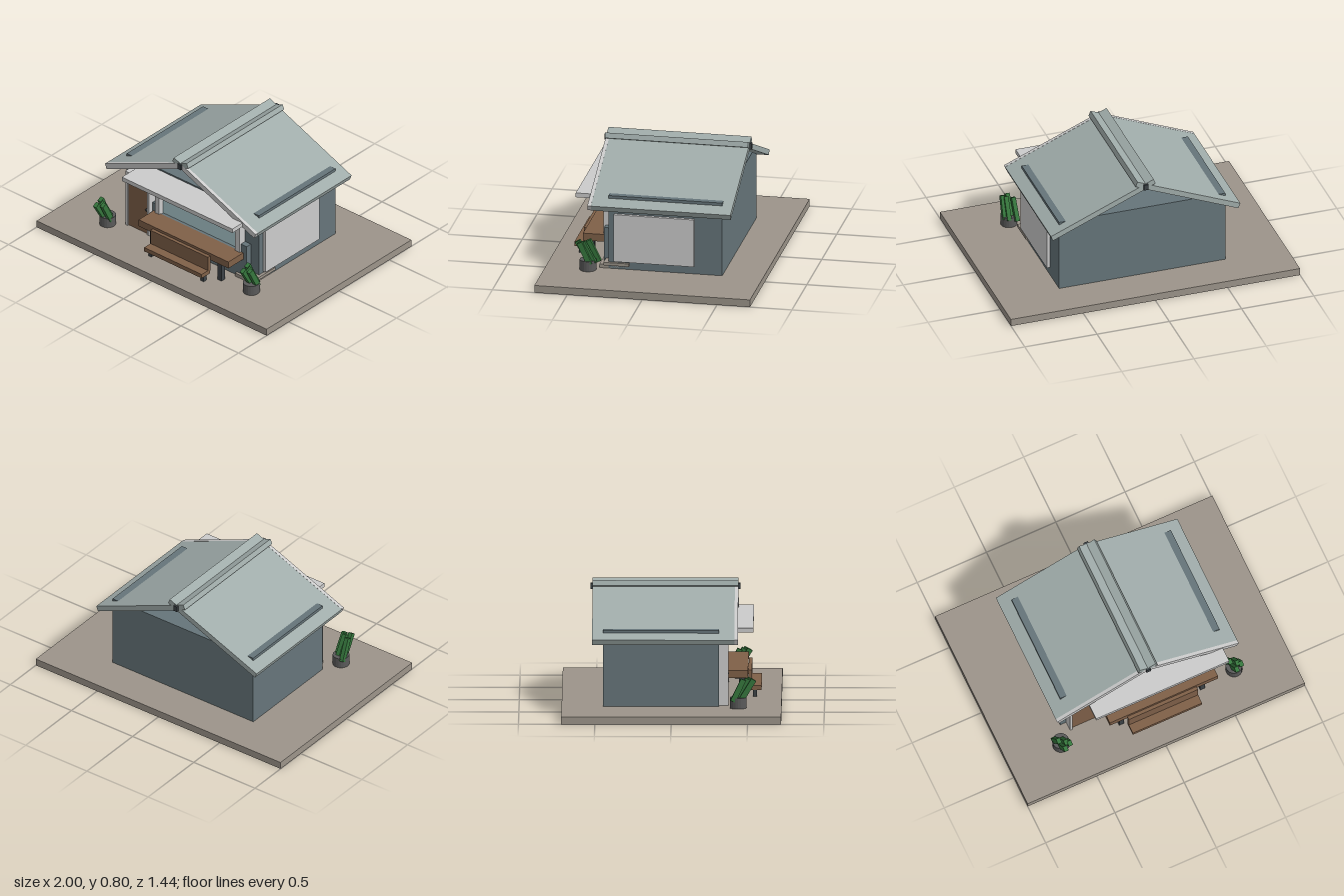
import * as THREE from 'three';

const mat = (color) => new THREE.MeshStandardMaterial({ color, flatShading: true });

export function createModel() {
  const model = new THREE.Group();
  const M = {
    ground: mat(0x9c948a), wall: mat(0x66757a), roof: mat(0xa0acaa), trim: mat(0xcccccc),
    wood: mat(0x7f6048), dark: mat(0x3c4246), glass: mat(0xb0cfd4), lamp: mat(0xf0e2c0),
    pot: mat(0x5a5a5a), leaf: mat(0x35753c),
  };

  // Box given by its limits on each axis
  const box = (name, m, [x0, x1], [y0, y1], [z0, z1], parent = model) => {
    const mesh = new THREE.Mesh(new THREE.BoxGeometry(x1 - x0, y1 - y0, z1 - z0), m);
    mesh.position.set((x0 + x1) / 2, (y0 + y1) / 2, (z0 + z1) / 2);
    mesh.name = name;
    parent.add(mesh);
    return mesh;
  };

  box('groundSlab', M.ground, [-1, 1], [0, 0.05], [-0.72, 0.72]);
  box('walls', M.wall, [-0.575, 0.575], [0.05, 0.555], [-0.45, 0.31]);

  // Pitched roof: one sloping section per side, extruded along z
  const roofSide = (name, m, s, z0, z1, lift) => {
    const pts = [[0, 0.777], [0.655, 0.502], [0.641, 0.467], [0, 0.737]]
      .map(([x, y]) => new THREE.Vector2(s * x, y + lift));
    const geo = new THREE.ExtrudeGeometry(new THREE.Shape(pts), { depth: z1 - z0, bevelEnabled: false });
    geo.translate(0, 0, z0);
    const mesh = new THREE.Mesh(geo, m);
    mesh.name = name;
    model.add(mesh);
  };
  for (const s of [-1, 1]) {
    roofSide('roofPanel', M.roof, s, -0.52, 0.412, 0);
    roofSide('frontRakeBoard', M.trim, s, 0.412, 0.435, 0.001);
    // Ridge capping, tilted up towards its outer edge
    const cap = box('ridgeCap', M.roof, [-0.032, 0.032], [-0.018, 0.018], [-0.52, 0.435]);
    cap.position.x = s * 0.033;
    cap.position.y = 0.773;
    cap.rotation.z = s * 0.4;
  }
  box('ridgeBeam', M.dark, [-0.015, 0.015], [0.738, 0.777], [-0.535, 0.447]);

  // Awning, lamp strip and blank sign board
  box('awning', M.trim, [-0.42, 0.54], [0.515, 0.545], [0.31, 0.535]);
  box('lampStrip', M.lamp, [-0.33, 0.45], [0.5, 0.515], [0.455, 0.485]);
  box('signBoard', M.trim, [-0.165, 0.33], [0.415, 0.5], [0.33, 0.385]);

  // Serving window
  const servingWindow = new THREE.Group();
  servingWindow.name = 'servingWindow';
  model.add(servingWindow);
  box('glass', M.glass, [-0.25, 0.42], [0.23, 0.43], [0.31, 0.325], servingWindow);
  for (const [a, b] of [[-0.283, -0.245], [0.415, 0.455]])
    box('windowJamb', M.trim, [a, b], [0.24, 0.463], [0.31, 0.365], servingWindow);
  box('windowHead', M.trim, [-0.245, 0.415], [0.425, 0.463], [0.31, 0.345], servingWindow);
  box('wallBelowWindow', M.wall, [-0.315, 0.505], [0.05, 0.24], [0.31, 0.352], servingWindow);
  for (const [a, b] of [[-0.315, -0.283], [0.455, 0.505]])
    box('wallBesideWindow', M.wall, [a, b], [0.24, 0.305], [0.31, 0.352], servingWindow);

  // Door with frame and knob
  const door = new THREE.Group();
  door.name = 'door';
  model.add(door);
  box('doorLeaf', M.wood, [-0.515, -0.343], [0.05, 0.442], [0.31, 0.36], door);
  for (const [a, b] of [[-0.533, -0.515], [-0.343, -0.325]])
    box('doorJamb', M.trim, [a, b], [0.05, 0.467], [0.31, 0.372], door);
  box('doorHead', M.trim, [-0.515, -0.343], [0.442, 0.467], [0.31, 0.372], door);
  const knob = new THREE.Mesh(new THREE.SphereGeometry(0.009, 10, 8), M.dark);
  knob.name = 'doorKnob';
  knob.position.set(-0.355, 0.235, 0.366);
  door.add(knob);

  // Side panel and stepped sill at the corner
  box('sidePanel', M.trim, [0.575, 0.597], [0.105, 0.432], [-0.265, 0.27]);
  box('lowerStep', M.ground, [0.42, 0.575], [0.05, 0.075], [0.17, 0.37]);
  box('upperStep', M.ground, [0.47, 0.595], [0.075, 0.095], [0.17, 0.34]);

  // Counter
  box('counterTop', M.wood, [-0.305, 0.475], [0.195, 0.245], [0.35, 0.5]);
  for (const x of [-0.208, 0.376])
    box('counterLeg', M.dark, [x - 0.018, x + 0.018], [0.05, 0.195], [0.44, 0.476]);

  // Bench
  const bench = new THREE.Group();
  bench.name = 'bench';
  model.add(bench);
  box('benchSeat', M.wood, [-0.18, 0.32], [0.095, 0.125], [0.505, 0.588], bench);
  box('benchBack', M.wood, [-0.18, 0.32], [0.115, 0.228], [0.502, 0.525], bench);
  for (const x of [-0.158, 0.298])
    box('benchLeg', M.dark, [x - 0.013, x + 0.013], [0.05, 0.095], [0.53, 0.558], bench);

  // Potted plants: leaning square stalks in a round pot
  const stalks = [[-0.033, -0.03, 0.45], [-0.012, 0.03, 0.55], [0.012, -0.005, 0.5], [0.033, 0.015, 0.45]];
  for (const [x, shift] of [[-0.63, 0.03], [0.62, 0]]) {
    const plant = new THREE.Group();
    plant.name = 'pottedPlant';
    plant.position.set(x, 0.05, 0.437);
    model.add(plant);
    const pot = new THREE.Mesh(new THREE.CylinderGeometry(0.055, 0.055, 0.07, 20), M.pot);
    pot.name = 'pot';
    pot.position.y = 0.035;
    plant.add(pot);
    stalks.forEach(([dx, dz, lean], i) => {
      const leaf = box('leaf', M.leaf, [-0.014, 0.014], [-0.08, 0.08], [-0.018, 0.018], plant);
      leaf.position.set(dx, 0.12, dz + shift);
      leaf.rotation.set(lean, 0, (i - 1.5) * 0.03);
    });
  }
  return model;
}
